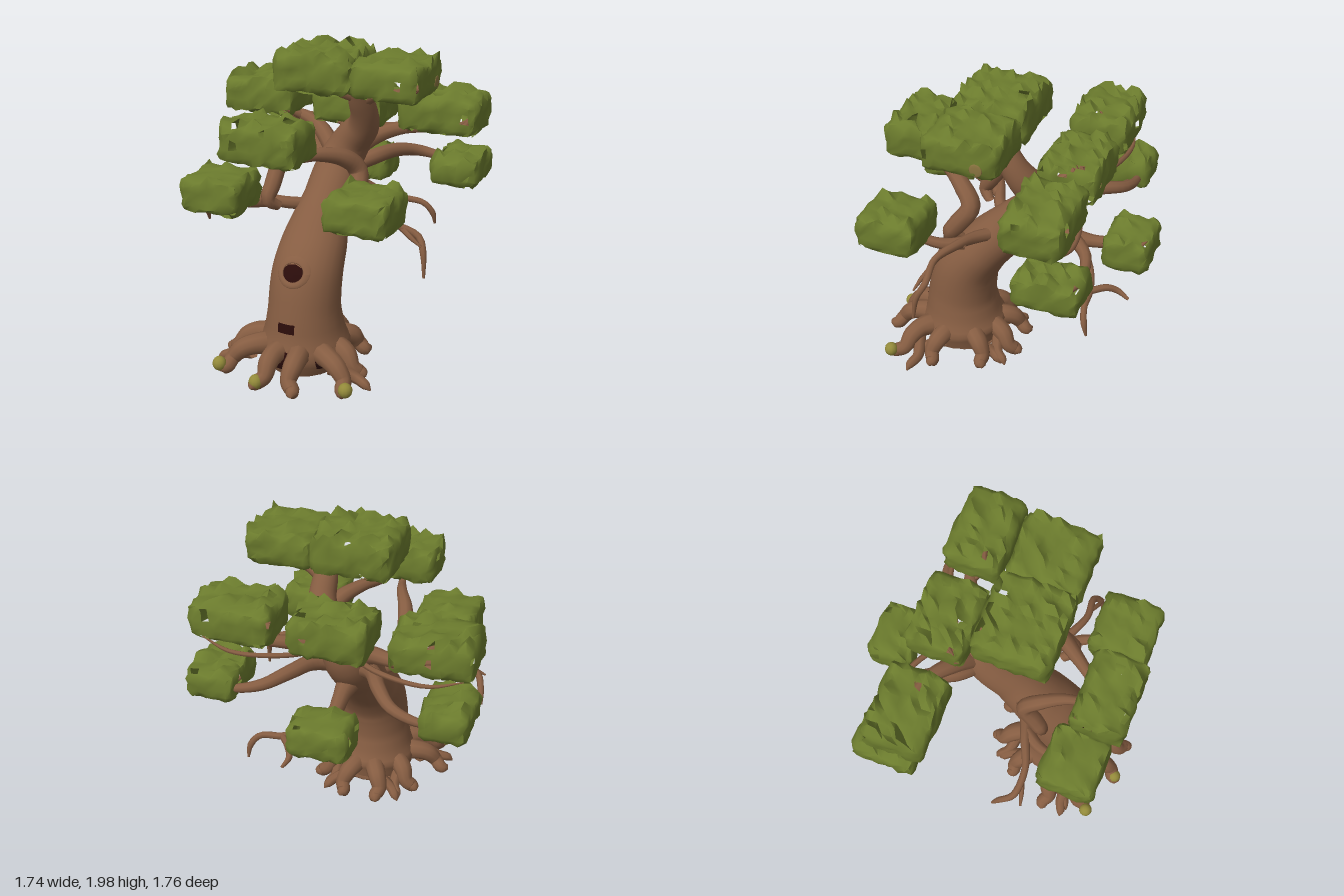
import * as THREE from 'three';
import { mergeVertices, toCreasedNormals } from 'three/addons/utils/BufferGeometryUtils.js';

const mat = (name, color) => {
  const m = new THREE.MeshStandardMaterial({ color, side: THREE.DoubleSide });
  m.name = name;
  return m;
};

let seed = 7;
const rand = () => {
  seed = (seed * 16807) % 2147483647;
  return seed / 2147483647;
};

// Tapered tube through points [x, y, z, radius, widthScale]
function limbGeometry(points, sides = 9, steps = points.length * 4) {
  const curve = new THREE.CatmullRomCurve3(points.map(p => new THREE.Vector3(p[0], p[1], p[2])));
  const geo = new THREE.TubeGeometry(curve, steps, 1, sides, false);
  const pos = geo.attributes.position;
  const v = new THREE.Vector3();
  for (let i = 0; i <= steps; i++) {
    const u = i / steps, c = curve.getPointAt(u);
    const f = curve.getUtoTmapping(u) * (points.length - 1);
    const k = Math.min(Math.floor(f), points.length - 2);
    const mix = n => THREE.MathUtils.lerp(points[k][n] ?? 1, points[k + 1][n] ?? 1, f - k);
    const r = mix(3), w = mix(4);
    for (let j = 0; j <= sides; j++) {
      const n = i * (sides + 1) + j;
      v.fromBufferAttribute(pos, n).sub(c).multiplyScalar(r);
      pos.setXYZ(n, c.x + v.x * w, c.y + v.y, c.z + v.z);
    }
  }
  geo.deleteAttribute('uv');
  geo.deleteAttribute('normal');
  const merged = mergeVertices(geo, 1e-4);
  merged.computeVertexNormals();
  return merged;
}

// Ragged box of foliage with a spiky top, torn patches and an open-work underside
function leafGeometry([x0, x1, y0, y1, z0, z1]) {
  const size = [x1 - x0, y1 - y0, z1 - z0];
  const seg = size.map(s => Math.max(4, Math.round(s / 0.045)));
  const box = new THREE.BoxGeometry(...size, ...seg);
  box.deleteAttribute('uv');
  box.deleteAttribute('normal');
  const geo = mergeVertices(box, 1e-4);
  const pos = geo.attributes.position, keep = [], old = geo.index.array;
  for (let i = 0; i < old.length; i += 6) {
    const quad = Array.from(old.slice(i, i + 6));
    const bottom = quad.every(n => pos.getY(n) < -size[1] / 2 + 1e-4);
    if (rand() > (bottom ? 0.4 : 0.02)) keep.push(...quad);
  }
  for (let i = 0; i < pos.count; i++) {
    const p = [pos.getX(i), pos.getY(i), pos.getZ(i)];
    const edge = p.map((c, a) => Math.abs(c) > size[a] / 2 - 1e-4);
    const count = edge.filter(Boolean).length;
    const top = p[1] > size[1] / 2 - 1e-4;
    for (let a = 0; a < 3; a++) {
      if (edge[a] && count > 1) p[a] -= Math.sign(p[a]) * 0.007 * count;
      p[a] += (rand() - 0.5) * 0.02;
    }
    if (top) p[1] += rand() > 0.85 ? 0.04 : rand() * 0.012 - 0.006;
    pos.setXYZ(i, p[0] + (x0 + x1) / 2, p[1] + (y0 + y1) / 2, p[2] + (z0 + z1) / 2);
  }
  geo.setIndex(keep);
  return toCreasedNormals(geo, 1.1);
}

export function createModel() {
  const group = new THREE.Group();
  const bark = mat('bark', 0x865d42), leaf = mat('leaf', 0x6b7b2d);
  const hollow = mat('hollow', 0x2a0c0a), moss = mat('moss', 0x938a3a);
  const cutWood = mat('cutWood', 0x8a7440);
  const add = (name, geo, material) => {
    const m = new THREE.Mesh(geo, material);
    m.name = name;
    group.add(m);
    return m;
  };
  const limb = (name, pts, sides) => add(name, limbGeometry(pts, sides), bark);

  // Leaning trunk, flared at the foot and curling forward again at the top
  const trunk = limb('trunk', [
    [0, 0.06, 0.37, 0.25], [0, 0.17, 0.385, 0.285], [0, 0.26, 0.39, 0.25], [0, 0.4, 0.39, 0.225],
    [0, 0.6, 0.35, 0.21, 1.05], [0, 0.77, 0.235, 0.175, 1.18], [0, 0.98, 0.04, 0.153, 1],
    [0, 1.1, -0.09, 0.15, 1], [0.02, 1.21, -0.17, 0.14], [0.08, 1.32, -0.17, 0.12],
    [0.17, 1.43, -0.12, 0.1], [0.2, 1.53, -0.06, 0.085], [0.2, 1.63, 0, 0.077], [0.2, 1.76, 0.08, 0.05],
  ], 24);

  // Front hollows laid onto the trunk surface
  trunk.updateMatrixWorld();
  const ray = new THREE.Raycaster();
  const onTrunk = (geo, x, y) => {
    geo.translate(x, y, 0);
    const p = geo.attributes.position;
    for (let i = 0; i < p.count; i++) {
      ray.set(new THREE.Vector3(p.getX(i), p.getY(i), 2), new THREE.Vector3(0, 0, -1));
      const hit = ray.intersectObject(trunk)[0];
      if (hit) p.setZ(i, p.getZ(i) + hit.point.z + 0.006);
    }
    geo.computeVertexNormals();
    return geo;
  };
  add('upperHollow', onTrunk(new THREE.RingGeometry(0.001, 0.06, 9, 4).scale(1.2, 0.88, 1), -0.005, 0.67), hollow);
  add('hollowRim', onTrunk(new THREE.TorusGeometry(0.078, 0.02, 8, 24).scale(1.1, 0.9, 0.3), -0.005, 0.675), bark);
  add('lowerHollow', onTrunk(new THREE.PlaneGeometry(0.11, 0.06, 5, 3), -0.015, 0.34), hollow);
  for (const [x, y, w, h] of [[0, 0.135, 0.16, 0.13], [-0.2, 0.12, 0.07, 0.1], [0.2, 0.14, 0.06, 0.1]])
    add('baseHollow', onTrunk(new THREE.PlaneGeometry(w, h, 6, 5), x, y), hollow);

  // Rounded underside with dark gaps
  const dome = (r, x, y, z) => new THREE.SphereGeometry(r, 20, 6, 0, Math.PI * 2, Math.PI / 2, Math.PI / 2)
    .scale(1, 0.18, 1).translate(x, y, z);
  add('underside', dome(0.25, 0, 0.07, 0.37), bark);
  add('undersideHollow', dome(0.08, 0.09, 0.022, 0.36), hollow);
  add('undersideHollow', dome(0.07, -0.07, 0.024, 0.45), hollow);

  // Knobbly roots: a raised knee, a toe and, away from the front, a side spur
  const roots = [[-0.13, 0.87], [0.13, 0.87], [0.42, 0.74], [0.43, 0.46], [0.33, 0.13],
    [0.1, -0.05], [-0.14, -0.04], [-0.36, 0.16], [-0.5, 0.45], [-0.41, 0.74]];
  roots.forEach(([ex, ez], i) => {
    const dx = ex, dz = ez - 0.38;
    const at = (t, y, r, side = 0) => [dx * t - dz * side, y, 0.38 + dz * t + dx * side, r];
    const bend = i % 2 ? 0.06 : -0.06;
    limb('root', [at(0.35, 0.17, 0.08), at(0.58, 0.18, 0.065), at(0.73, 0.155, 0.06, bend / 2),
      at(0.84, 0.09, 0.048, bend), at(0.92, 0.055, 0.045), at(0.99, 0.045, 0.033), at(1.02, 0.035, 0.004)], 10);
    if (i > 1) limb('rootSpur', [at(0.62, 0.13, 0.045), at(0.76, 0.07, 0.036, bend * 4),
      at(0.9, 0.045, 0.03, bend * 5), at(0.95, 0.02, 0.004, bend * 5.5)], 7);
  });
  for (const [x, y, z] of [[-0.415, 0.08, 0.74], [-0.115, 0.07, 0.84], [0.42, 0.08, 0.74]])
    add('mossyToe', new THREE.SphereGeometry(0.046, 12, 8).scale(0.95, 1, 0.95).translate(x, y, z), moss);

  // Forward looping limbs, rising from the side branches
  limb('frontLimb', [[-0.22, 0.98, 0.28, 0.03], [-0.27, 1.03, 0.33, 0.045], [-0.26, 1.12, 0.28, 0.052],
    [-0.25, 1.25, 0.21, 0.052], [-0.22, 1.35, 0.29, 0.046], [-0.16, 1.385, 0.42, 0.034],
    [-0.12, 1.38, 0.56, 0.024], [-0.1, 1.45, 0.68, 0.01]]);
  limb('frontLimb', [[0.23, 0.98, 0.28, 0.03], [0.29, 1.03, 0.34, 0.048], [0.29, 1.12, 0.28, 0.06],
    [0.27, 1.25, 0.2, 0.06], [0.21, 1.345, 0.28, 0.055], [0.1, 1.39, 0.42, 0.04],
    [0, 1.39, 0.56, 0.026], [-0.04, 1.46, 0.66, 0.01]]);
  // Rear low limb and its hooked twigs
  limb('rearLimb', [[0, 1.03, -0.08, 0.09], [0, 1.01, -0.28, 0.055], [-0.02, 0.98, -0.5, 0.04],
    [-0.04, 1, -0.63, 0.035], [-0.04, 1.08, -0.74, 0.01]]);
  limb('rearTwig', [[0.02, 0.98, -0.42, 0.025], [0.13, 0.88, -0.52, 0.024], [0.28, 0.83, -0.57, 0.022],
    [0.42, 0.81, -0.58, 0.02], [0.48, 0.74, -0.6, 0.02], [0.49, 0.66, -0.62, 0.008]], 7);
  limb('rearTwig', [[0.28, 0.83, -0.57, 0.022], [0.21, 0.83, -0.66, 0.022], [0.18, 0.8, -0.72, 0.02],
    [0.2, 0.77, -0.79, 0.01]], 7);

  for (const s of [-1, 1]) {
    // Hanging side branches at the front, forking up to foliage
    limb('sideBranch', [[s * 0.03, 0.95, 0.06, 0.04], [s * 0.2, 0.98, 0.2, 0.04], [s * 0.36, 1.01, 0.26, 0.03],
      [s * 0.54, 1, 0.33, 0.022], [s * 0.7, 0.94, 0.32, 0.022],
      [s * 0.745, 0.86, s < 0 ? 0.24 : 0.36, 0.02], [s * 0.76, s < 0 ? 0.79 : 0.71, s < 0 ? 0.2 : 0.38, 0.008]], 8);
    limb('sideFork', [[s * 0.3, 0.99, 0.24, 0.042], [s * 0.38, 1.01, 0.36, 0.036],
      [s * 0.42, 1.06, 0.5, 0.028], [s * 0.47, 1.16, 0.62, 0.008]], 8);
    limb('sideTwig', [[s * 0.6, 0.98, 0.33, 0.02], [s * 0.67, 0.94, 0.36, 0.016], [s * 0.74, 0.9, 0.38, 0.006]], 6);
    // Upper rear limbs
    limb('upperLimb', [[s * 0.04, 1.2, -0.18, 0.06], [s * 0.18, 1.32, -0.28, 0.055], [s * 0.34, 1.37, -0.38, 0.042],
      [s * 0.56, 1.38, -0.42, 0.028], [s * 0.72, 1.4, -0.42, 0.022], [s * 0.78, 1.5, -0.42, 0.006]]);
    limb('upperTwig', [[s * 0.36, 1.37, -0.38, 0.03], [s * 0.46, 1.43, -0.32, 0.022], [s * 0.58, 1.5, -0.3, 0.006]], 7);
    limb('crossTwig', [[s * 0.06, 1.36, -0.36, 0.018], [s * 0.3, 1.35, -0.5, 0.018],
      [s * 0.6, 1.35, -0.55, 0.014], [s * 0.8, 1.39, -0.5, 0.004]], 6);
    // Lower rear limbs
    limb('lowerLimb', [[0, 1.11, -0.12, 0.05], [s * 0.18, 1.19, -0.26, 0.052], [s * 0.28, 1.2, -0.44, 0.045],
      [s * 0.4, 1.17, -0.57, 0.036], [s * 0.58, 1.13, -0.6, 0.026], [s * 0.76, 1.13, -0.56, 0.006]]);
    limb('lowerTwig', [[s * 0.5, 1.14, -0.59, 0.022], [s * 0.62, 1.07, -0.5, 0.018], [s * 0.8, 1.05, -0.42, 0.005]], 6);
  }
  // Supports under the middle foliage and crown
  limb('rearFork', [[0.02, 1.24, -0.2, 0.07], [-0.02, 1.37, -0.32, 0.045], [0, 1.5, -0.42, 0.01]]);
  limb('crownBranch', [[0.2, 1.62, 0, 0.05], [0.32, 1.68, 0.03, 0.036], [0.5, 1.7, 0.05, 0.028], [0.64, 1.78, 0.02, 0.008]]);
  limb('crownBranch', [[0.2, 1.65, 0.02, 0.045], [0.08, 1.7, 0.1, 0.032], [-0.1, 1.75, 0.14, 0.008]]);
  add('crownKnot', new THREE.SphereGeometry(0.04, 12, 8).scale(0.12, 1, 1).translate(0.673, 1.78, -0.01), cutWood);

  // Foliage blocks (x, y and z ranges), each with twigs spreading across its open underside
  const foliage = [
    [-0.24, 0.26, 1.71, 1.94, -0.14, 0.33], [0.25, 0.67, 1.71, 1.92, -0.13, 0.33],
    [-0.34, 0.15, 1.4, 1.63, 0.5, 0.83],
    [-0.63, -0.25, 1.05, 1.26, 0.42, 0.78], [0.28, 0.67, 1.05, 1.27, 0.41, 0.79],
    [-0.85, -0.36, 1.4, 1.62, -0.57, -0.19], [0.35, 0.86, 1.4, 1.63, -0.57, -0.2],
    [-0.23, 0.25, 1.39, 1.62, -0.57, -0.2],
    [-0.86, -0.57, 1.05, 1.24, -0.67, -0.27], [0.55, 0.86, 1.05, 1.23, -0.67, -0.27],
    [-0.22, 0.15, 0.91, 1.12, -0.87, -0.58],
  ];
  foliage.forEach(range => {
    add('foliage', leafGeometry(range), leaf);
    const [x0, x1, y0, , z0, z1] = range, cx = (x0 + x1) / 2, cz = (z0 + z1) / 2;
    for (const [a, b] of [[0.8, 0.5], [-0.75, 0.6], [0.6, -0.8], [-0.8, -0.55]]) {
      const px = a * (x1 - x0) / 2, pz = b * (z1 - z0) / 2;
      limb('leafTwig', [[cx, y0 + 0.01, cz, 0.022], [cx + px * 0.6, y0 + 0.015, cz + pz * 0.35, 0.017],
        [cx + px, y0 + 0.06, cz + pz, 0.005]], 6);
    }
  });
  return group;
}
